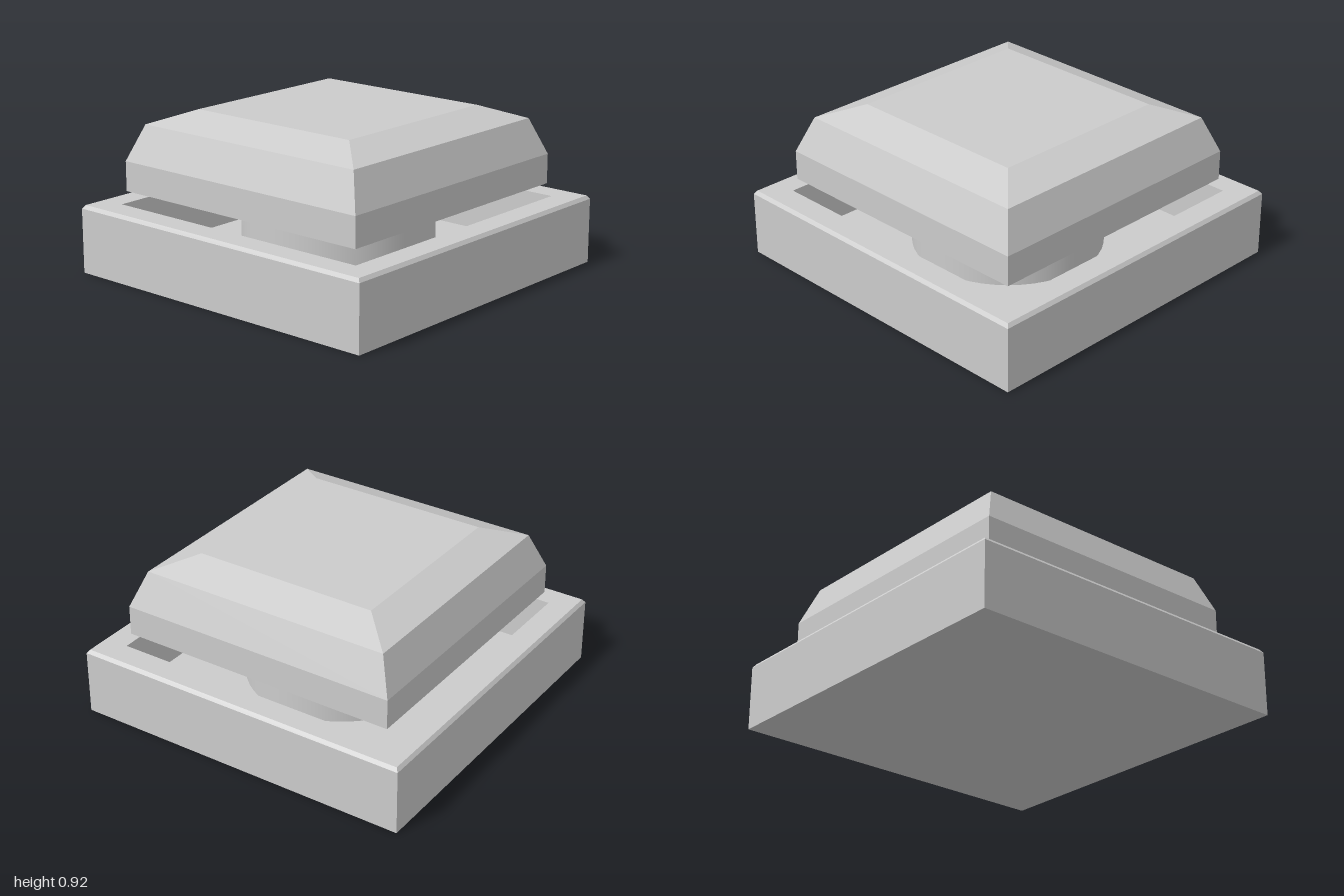
import * as THREE from 'three';

const material = new THREE.MeshStandardMaterial({ color: 0xcccccc });
const flatMaterial = new THREE.MeshStandardMaterial({ color: 0xcccccc, flatShading: true });

// Square solid from a profile of [half width, height] pairs, bottom to top
function squareLathe(name, profile) {
  const points = profile.map(([half, y]) => new THREE.Vector2(half * Math.SQRT2, y));
  const geometry = new THREE.LatheGeometry(points, 4, Math.PI / 4).toNonIndexed();
  geometry.computeVertexNormals();
  const mesh = new THREE.Mesh(geometry, flatMaterial);
  mesh.name = name;
  return mesh;
}

export function createModel() {
  const group = new THREE.Group();
  group.name = 'pushButton';

  // Open tray with a chamfered rim and a square recess
  group.add(squareLathe('base', [
    [0, 0], [1, 0], [1, 0.37], [0.985, 0.39],
    [0.845, 0.39], [0.845, 0.1], [0, 0.1],
  ]));

  // Round plunger standing in the recess
  const bottom = 0.1, top = 0.42;
  const plunger = new THREE.Mesh(
    new THREE.CylinderGeometry(0.54, 0.54, top - bottom, 48), material);
  plunger.position.y = (bottom + top) / 2;
  plunger.name = 'plunger';
  group.add(plunger);

  // Bevelled square cap with a shallow tapered underside
  group.add(squareLathe('cap', [
    [0, 0.415], [0.35, 0.42], [0.825, 0.465], [0.825, 0.635],
    [0.745, 0.84], [0.54, 0.92], [0, 0.92],
  ]));

  return group;
}
